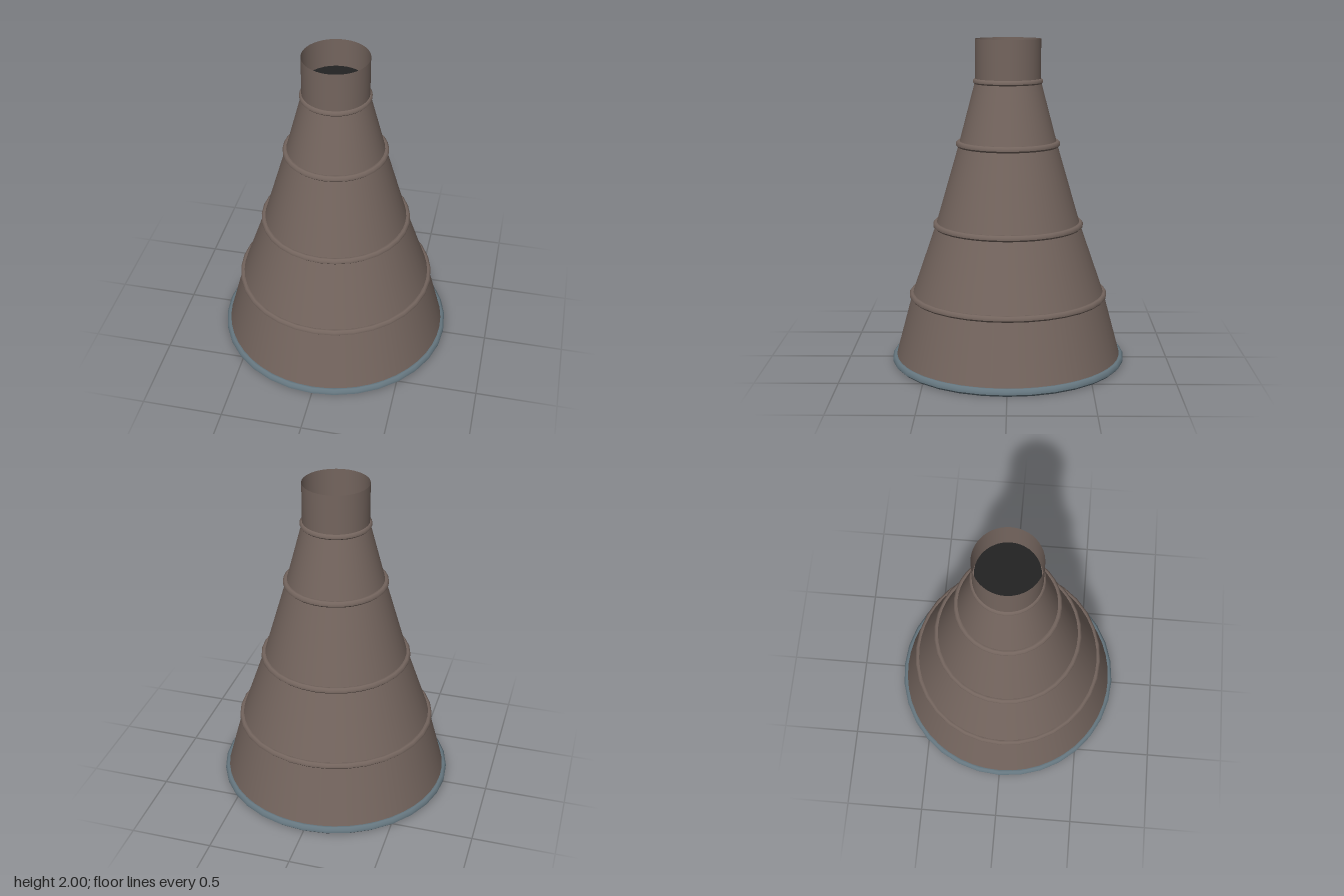
import * as THREE from 'three';

export function createModel() {
  const model = new THREE.Group();
  model.name = 'bandedCone';

  const brown = new THREE.MeshStandardMaterial({ color: 0x74655e, side: THREE.DoubleSide });
  brown.name = 'dull brown';
  const slate = new THREE.MeshStandardMaterial({ color: 0x667780 });
  slate.name = 'slate blue';
  const dark = new THREE.MeshStandardMaterial({ color: 0x222222, side: THREE.DoubleSide });
  dark.name = 'near black';

  const add = (name, geometry, material, y) => {
    const mesh = new THREE.Mesh(geometry, material);
    mesh.name = name;
    mesh.position.y = y;
    model.add(mesh);
    return mesh;
  };

  // Open shell: stacked tapering sections ending in a straight neck
  const profile = [
    [0.705, 0.022], [0.597, 0.425], [0.445, 0.865],
    [0.3, 1.365], [0.2, 1.745], [0.2, 2],
  ];
  for (let i = 0; i < profile.length - 1; i++) {
    const [r0, y0] = profile[i];
    const [r1, y1] = profile[i + 1];
    add(i === 4 ? 'neck' : `shellSection${i + 1}`,
      new THREE.CylinderGeometry(r1, r0, y1 - y0, 48, 1, true), brown, (y0 + y1) / 2);
  }

  // Ring with a softly rounded octagonal section, flat on its outer side
  const ring = (radius, halfHeight) => {
    const tube = halfHeight / Math.cos(Math.PI / 8);
    const points = [];
    for (let i = 0; i <= 8; i++) {
      const a = (i - 0.5) * Math.PI / 4;
      points.push(new THREE.Vector2(radius + tube * Math.cos(a), tube * Math.sin(a)));
    }
    return new THREE.LatheGeometry(points, 32);
  };

  // Raised bands over the joints
  const bands = [[0.597, 0.425, 0.018], [0.446, 0.865, 0.018], [0.301, 1.365, 0.018], [0.197, 1.745, 0.016]];
  bands.forEach(([r, y, h], i) => add(`band${i + 1}`, ring(r, h), brown, y));

  // Base rim
  add('baseRim', ring(0.703, 0.0225), slate, 0.0225);

  // Dark disc set down inside the neck
  add('neckDisc', new THREE.CircleGeometry(0.187, 32).rotateX(-Math.PI / 2), dark, 1.83);

  return model;
}
